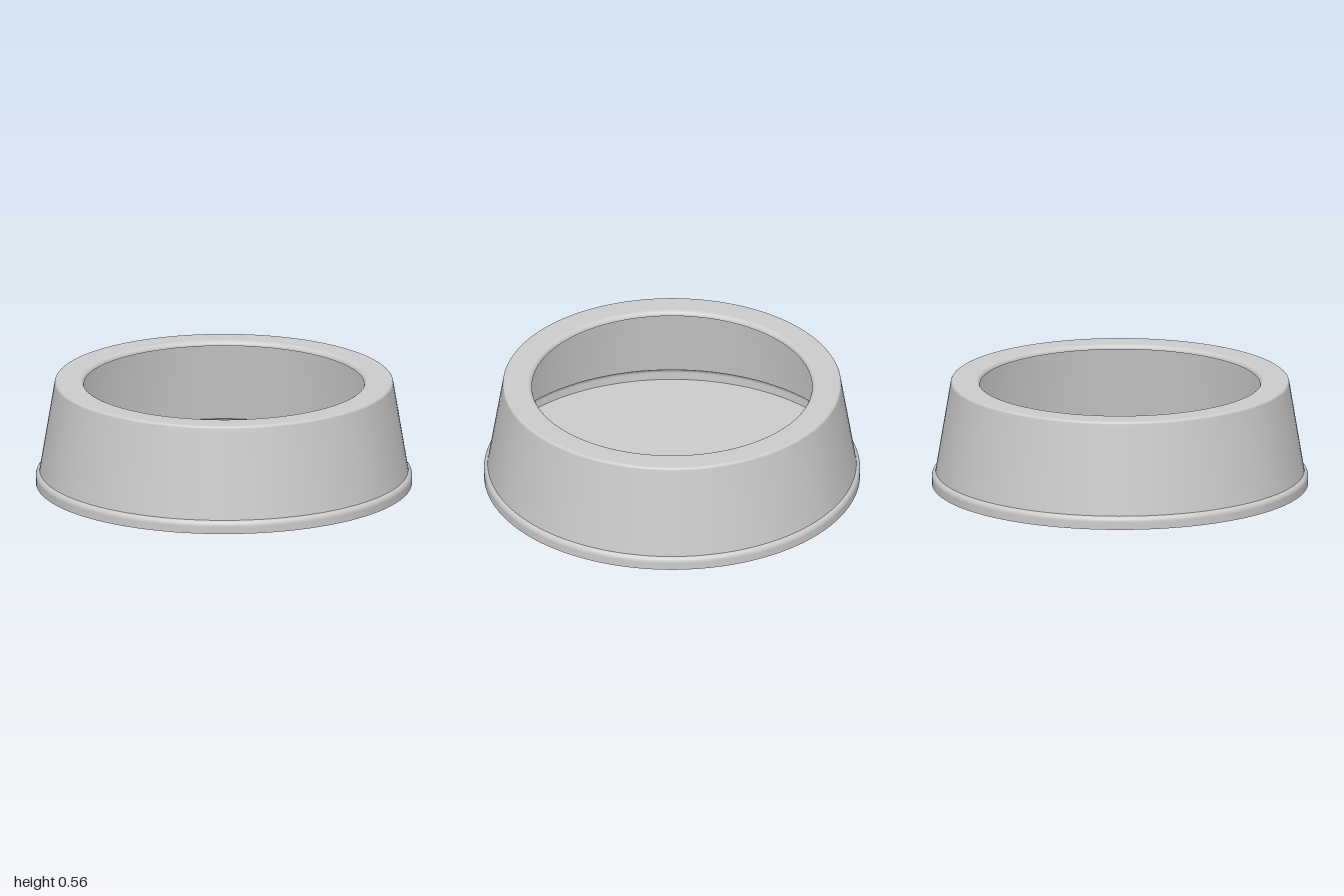
import * as THREE from 'three';

const SEGMENTS = 128;

// points on a rounding in the (radius, height) plane, angles in degrees
function arc(cx, cy, r, from, to, steps = 8) {
  return Array.from({ length: steps + 1 }, (_, i) => {
    const a = THREE.MathUtils.degToRad(from + (to - from) * i / steps);
    return [cx + r * Math.cos(a), cy + r * Math.sin(a)];
  });
}

export function createModel() {
  const model = new THREE.Group();
  model.name = 'bowl';
  // the bowl is a thin hollow sheet, seen from inside and outside
  const material = new THREE.MeshStandardMaterial({ color: 0xcccccc, side: THREE.DoubleSide });

  // each section is its own lathe, so the edges between sections stay crisp
  function addSection(name, points) {
    const profile = points.map(([x, y]) => new THREE.Vector2(x, y));
    const mesh = new THREE.Mesh(new THREE.LatheGeometry(profile, SEGMENTS), material);
    mesh.name = name;
    model.add(mesh);
  }

  const outerRound = arc(0.885, 0.55, 0.015, 9, 90);
  const lipRound = arc(0.77, 0.54, 0.025, 90, 180);
  const footRound = arc(0.968, 0.04, 0.032, 0, 68);

  // base with a rounded foot
  addSection('floor', [[0, 0], [1, 0]]);
  addSection('footSide', [[1, 0], footRound[0]]);
  addSection('footRounding', footRound);

  // leaning wall and the rim, with a lip curling down into the hollow
  addSection('wall', [footRound.at(-1), outerRound[0]]);
  addSection('rimRounding', outerRound);
  addSection('rimTop', [outerRound.at(-1), lipRound[0]]);
  addSection('lip', lipRound);

  return model;
}
